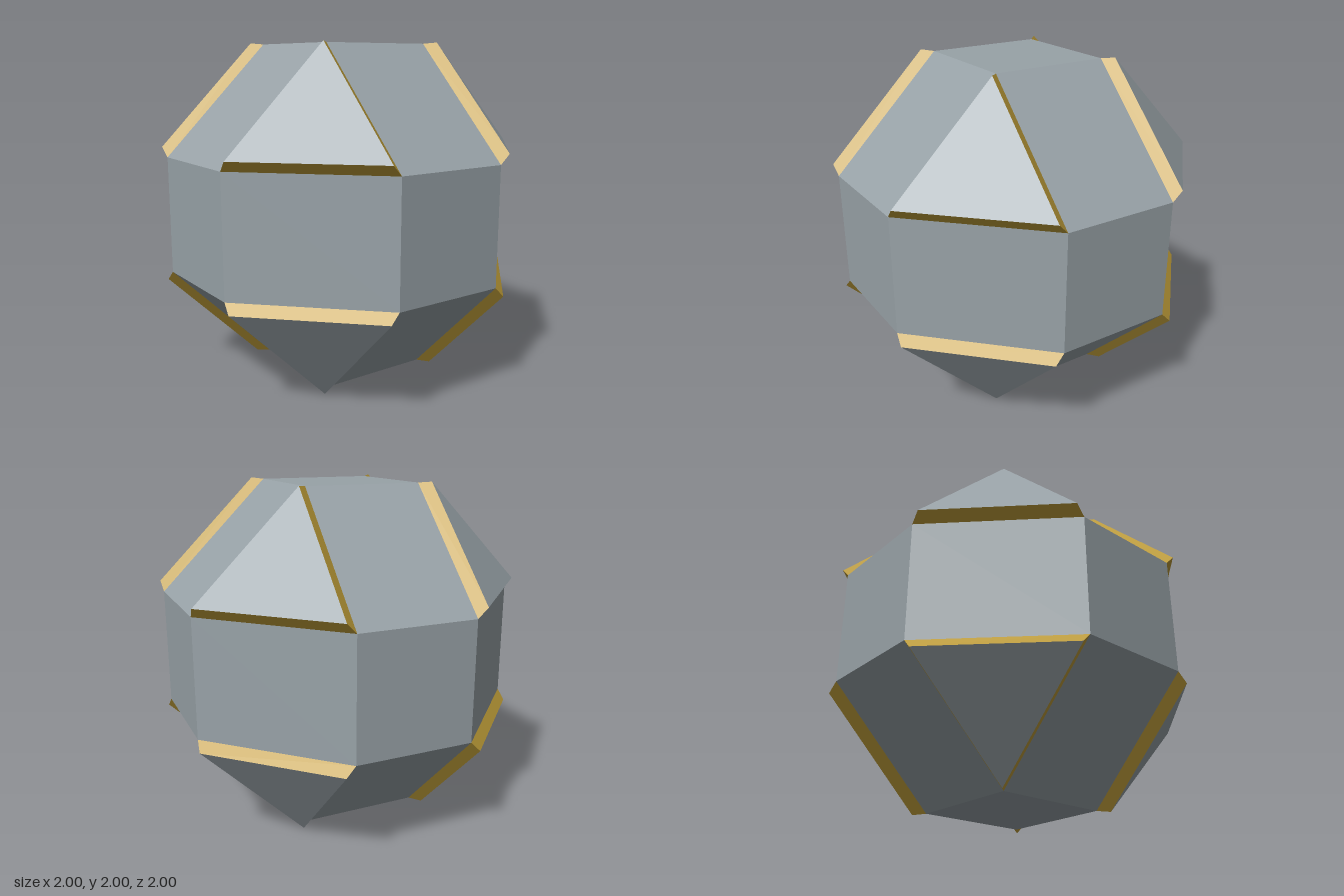
import * as THREE from 'three';

const A = 0.345, B = 0.993;   // core corner: two short coordinates, one long
const C = 0.402, D = 1.0;     // raised cap corner, same pattern
const SIGNS = [-1, 1];

// Vector whose long coordinate lies on the given axis
function corner(axis, signs, short, long) {
  return new THREE.Vector3(...signs.map((s, i) => s * (i === axis ? long : short)));
}

// Adds a convex polygon as a fan, wound to face away from the centre
function addFace(out, pts) {
  const mid = pts.reduce((m, p) => m.add(p), new THREE.Vector3());
  const normal = pts[1].clone().sub(pts[0]).cross(pts[2].clone().sub(pts[0]));
  const p = normal.dot(mid) < 0 ? [...pts].reverse() : pts;
  for (let i = 1; i < p.length - 1; i++) {
    for (const v of [p[0], p[i], p[i + 1]]) out.push(v.x, v.y + 1, v.z);
  }
}

function makeMesh(name, positions, material) {
  const geometry = new THREE.BufferGeometry();
  geometry.setAttribute('position', new THREE.Float32BufferAttribute(positions, 3));
  geometry.computeVertexNormals();
  const mesh = new THREE.Mesh(geometry, material);
  mesh.name = name;
  return mesh;
}

export function createModel() {
  const grey = new THREE.MeshStandardMaterial({ name: 'steelGrey', color: 0x98a2a7, flatShading: true });
  const gold = new THREE.MeshStandardMaterial({ name: 'gold', color: 0xbc9b38, flatShading: true });
  const squares = [], bands = [], caps = [], bevels = [];

  for (let axis = 0; axis < 3; axis++) {
    const u = (axis + 1) % 3, v = (axis + 2) % 3;
    const signsOf = (a, b, c) => {
      const s = [];
      s[axis] = a; s[u] = b; s[v] = c;
      return s;
    };
    // Square panels at both ends of each axis
    for (const s of SIGNS) {
      addFace(squares, [[-1, -1], [1, -1], [1, 1], [-1, 1]]
        .map(([b, c]) => corner(axis, signsOf(s, b, c), A, B)));
    }
    // Four sloping panels running parallel to each axis
    for (const b of SIGNS) for (const c of SIGNS) {
      const lo = signsOf(-1, b, c), hi = signsOf(1, b, c);
      addFace(bands, [corner(u, lo, A, B), corner(u, hi, A, B), corner(v, hi, A, B), corner(v, lo, A, B)]);
    }
  }

  // Eight raised triangular caps with sloping gold rims
  for (const x of SIGNS) for (const y of SIGNS) for (const z of SIGNS) {
    const signs = [x, y, z];
    const base = [0, 1, 2].map(i => corner(i, signs, A, B));
    const top = [0, 1, 2].map(i => corner(i, signs, C, D));
    addFace(caps, top);
    for (let i = 0; i < 3; i++) {
      const j = (i + 1) % 3;
      addFace(bevels, [base[i], base[j], top[j], top[i]]);
    }
  }

  const model = new THREE.Group();
  model.name = 'facetedBall';
  model.add(
    makeMesh('squarePanels', squares, grey),
    makeMesh('slopingPanels', bands, grey),
    makeMesh('cornerCaps', caps, grey),
    makeMesh('capRims', bevels, gold),
  );
  return model;
}
